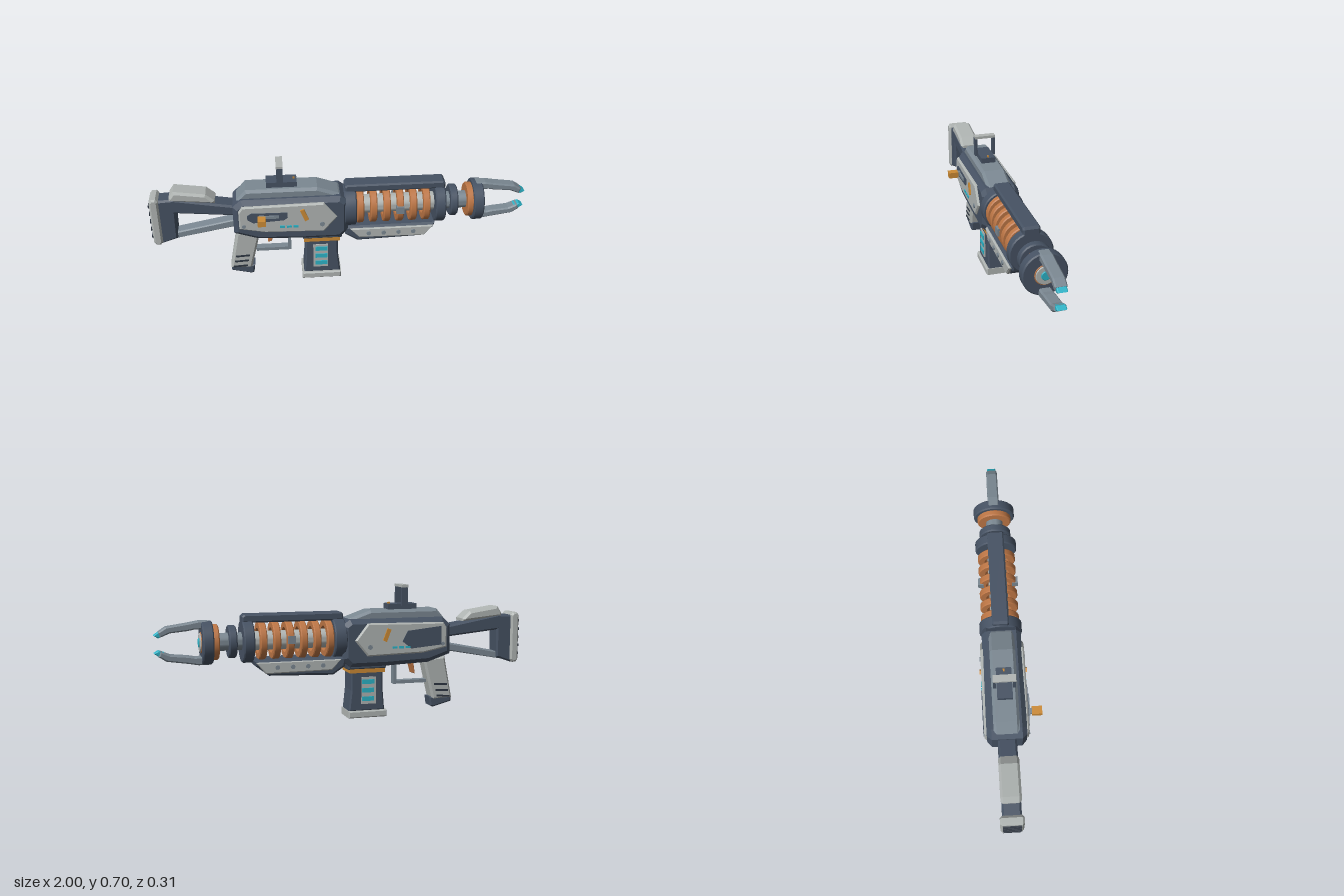
import * as THREE from 'three';
import { toCreasedNormals } from 'three/addons/utils/BufferGeometryUtils.js';

const mat = (name, color) => {
  const m = new THREE.MeshStandardMaterial({ color });
  m.name = name;
  return m;
};
const AXIS = 0.428; // height of the barrel axis

export function createModel() {
  const dark = mat('dark slate', 0x465263);
  const black = mat('near black', 0x2d3541);
  const mid = mat('mid grey', 0x7b8892);
  const light = mat('light grey', 0xb0b5b3);
  const copper = mat('copper', 0xbd7645);
  const orange = mat('orange', 0xcc8b35);
  const cyan = mat('cyan', 0x2cb3c7);

  const model = new THREE.Group();
  model.name = 'rifle';
  const body = new THREE.Group();
  body.name = 'body';
  body.position.z = -0.031;
  model.add(body);

  const add = (name, geo, material, x = 0, y = 0, z = 0) => {
    const m = new THREE.Mesh(geo, material);
    m.name = name;
    m.position.set(x, y, z);
    body.add(m);
    return m;
  };
  const box = (name, material, w, h, d, x, y, z = 0) =>
    add(name, new THREE.BoxGeometry(w, h, d), material, x, y, z);

  // Side profile extruded from z0 to z1, with chamfered edges inside the outline
  const slab = (name, material, pts, z0, z1, bevel = 0) => {
    const shape = new THREE.Shape(pts.map(p => new THREE.Vector2(p[0], p[1])));
    const geo = new THREE.ExtrudeGeometry(shape, {
      depth: z1 - z0 - 2 * bevel, bevelEnabled: bevel > 0, bevelThickness: bevel,
      bevelSize: bevel, bevelOffset: -bevel, bevelSegments: 1,
    });
    geo.translate(0, 0, z0 + bevel);
    return add(name, geo, material);
  };
  const block = (name, material, pts, half, bevel) => slab(name, material, pts, -half, half, bevel);

  // Ring or disc turned around the barrel axis, with a small chamfer
  const ring = (name, material, x0, x1, r, inner = 0, c = 0.006) => {
    const p = [[inner, x0], [r - c, x0], [r, x0 + c], [r, x1 - c], [r - c, x1], [inner, x1]];
    if (inner > 0) p.push([inner, x0]);
    const geo = new THREE.LatheGeometry(p.map(q => new THREE.Vector2(q[0], q[1])), 32);
    geo.rotateZ(-Math.PI / 2);
    return add(name, toCreasedNormals(geo, 0.5), material, 0, AXIS, 0);
  };
  const bolt = (name, material, r, x, y, z) => {
    const geo = new THREE.CylinderGeometry(r, r, 0.012, 8);
    geo.rotateX(Math.PI / 2);
    return add(name, geo, material, x, y, z);
  };

  // Receiver
  block('receiver', dark, [[-0.565, 0.33], [-0.44, 0.288], [-0.2, 0.278], [0, 0.278], [0.04, 0.32],
    [0.04, 0.5], [0, 0.53], [-0.52, 0.53], [-0.565, 0.49]], 0.102, 0.024);
  block('topCover', mid, [[-0.545, 0.515], [0.02, 0.515], [-0.01, 0.535], [-0.12, 0.574],
    [-0.495, 0.574]], 0.066, 0.014);

  for (const s of [1, -1]) {
    const side = (name, material, pts, a, b, bevel) =>
      slab(name, material, pts, s > 0 ? a : -b, s > 0 ? b : -a, bevel);
    // Side plate and its markings
    side('sidePlate', light, [[-0.535, 0.37], [-0.4, 0.343], [-0.09, 0.335], [-0.02, 0.42], [-0.09, 0.51],
      [-0.515, 0.505], [-0.535, 0.475]], 0.085, 0.114, 0.008);
    if (s > 0) {
      side('sideSlot', dark, [[-0.49, 0.43], [-0.46, 0.41], [-0.3, 0.42], [-0.28, 0.435], [-0.28, 0.465],
        [-0.47, 0.468], [-0.49, 0.455]], 0.113, 0.118);
    } else {
      side('rearPanel', dark, [[-0.5, 0.385], [-0.33, 0.37], [-0.28, 0.41], [-0.31, 0.465], [-0.5, 0.485]],
        0.113, 0.118);
    }
    side('slashMark', orange, [[-0.19, 0.41], [-0.17, 0.42], [-0.195, 0.483], [-0.215, 0.475]], 0.113, 0.122);
    for (let i = 0; i < 3; i++) box('statusLight', cyan, 0.026, 0.012, 0.008, -0.31 + i * 0.036, 0.379, s * 0.115);
    bolt('plateBolt', mid, 0.013, -0.1, 0.385, s * 0.114);
    bolt('plateBolt', mid, 0.01, -0.51, 0.39, s * 0.114);

    // Handguard side plate with bolts
    side('handguardPlate', light, [[0.1, 0.27], [0.45, 0.265], [0.5, 0.325], [0.05, 0.325]], 0.07, 0.094, 0.006);
    for (let i = 0; i < 4; i++) bolt('handguardBolt', mid, 0.012, 0.15 + i * 0.08, 0.298, s * 0.094);

    // Magazine window and light bars
    box('magazinePanel', light, 0.08, 0.145, 0.02, -0.108, 0.147, s * 0.059);
    for (let i = 0; i < 3; i++) box('magazineLight', cyan, 0.066, 0.024, 0.016, -0.104, 0.103 + i * 0.046, s * 0.066);

    // Grip grooves
    for (let i = 0; i < 3; i++) {
      const groove = box('gripGroove', black, 0.075, 0.01, 0.008, -0.53 - i * 0.008, 0.155 - i * 0.033, s * 0.045);
      groove.rotation.z = 0.06;
    }
    // Coil clamp and sight post
    box('coilClamp', mid, 0.04, 0.04, 0.03, 0.315, AXIS + 0.01, s * 0.092);
    box('sightPost', dark, 0.034, 0.1, 0.014, -0.313, 0.643, s * 0.05);
  }

  // Charging handle on the front side
  box('handleTrack', mid, 0.11, 0.016, 0.014, -0.38, 0.445, 0.118);
  box('handleStem', mid, 0.026, 0.024, 0.04, -0.415, 0.445, 0.128);
  box('chargingHandle', orange, 0.042, 0.032, 0.052, -0.415, 0.445, 0.16);

  // Top sight
  box('sightBase', dark, 0.16, 0.032, 0.078, -0.305, 0.587);
  box('sightBar', light, 0.036, 0.014, 0.114, -0.313, 0.698);
  box('sightBead', orange, 0.012, 0.014, 0.008, -0.24, 0.604);

  // Barrel shroud and coil
  ring('rearCollar', dark, 0.02, 0.085, 0.112);
  ring('frontCollar', dark, 0.505, 0.56, 0.112);
  ring('barrelCore', light, 0.07, 0.52, 0.05);
  for (let i = 0; i < 6; i++) ring('coilRing', copper, 0.088 + i * 0.0705, 0.124 + i * 0.0705, 0.101, 0.066, 0.005);
  block('topRail', dark, [[0.025, 0.525], [0.56, 0.525], [0.56, 0.556], [0.548, 0.568], [0.037, 0.568],
    [0.025, 0.556]], 0.044, 0.008);
  block('handguard', dark, [[0.02, 0.335], [0.025, 0.285], [0.09, 0.242], [0.43, 0.253], [0.5, 0.305],
    [0.51, 0.335]], 0.083, 0.012);

  // Muzzle
  ring('barrelNeck', mid, 0.55, 0.7, 0.046);
  ring('neckDisc', dark, 0.59, 0.63, 0.085);
  ring('copperDisc', copper, 0.68, 0.715, 0.092);
  ring('muzzleRing', dark, 0.71, 0.765, 0.112);
  ring('copperSeat', copper, 0.76, 0.768, 0.054, 0, 0.002);
  ring('lensRim', light, 0.762, 0.774, 0.049, 0, 0.003);
  ring('lens', cyan, 0.768, 0.779, 0.024, 0, 0.003);

  // Emitter prongs, mirrored above and below the axis
  for (const s of [1, -1]) {
    const pts = list => {
      const p = list.map(q => [q[0], AXIS + s * q[1]]);
      return s > 0 ? p : p.reverse();
    };
    block('prong', mid, pts([[0.73, 0.07], [0.8, 0.07], [0.83, 0.064], [0.92, 0.055], [0.968, 0.035],
      [0.978, 0.062], [0.94, 0.087], [0.83, 0.103], [0.78, 0.112], [0.73, 0.112]]), 0.03, 0.007);
    block('prongTip', cyan, pts([[0.95, 0.042], [0.978, 0.032], [1.0, 0.045], [0.965, 0.07]]), 0.024, 0.004);
  }

  // Magazine
  block('magazineWell', dark, [[-0.2, 0.262], [0.005, 0.262], [0.015, 0.3], [-0.215, 0.3]], 0.075, 0.008);
  box('magazineCollar', orange, 0.195, 0.024, 0.14, -0.1, 0.255);
  block('magazine', dark, [[-0.2, 0.035], [0, 0.035], [-0.012, 0.15], [-0.012, 0.25], [-0.19, 0.25],
    [-0.19, 0.15]], 0.063, 0.008);
  block('magazineBase', light, [[-0.21, 0], [0.004, 0], [0.004, 0.038], [-0.21, 0.038]], 0.074, 0.006);

  // Grip
  block('grip', light, [[-0.6, 0.075], [-0.485, 0.068], [-0.43, 0.3], [-0.555, 0.31]], 0.046, 0.012);
  block('gripFoot', dark, [[-0.597, 0.055], [-0.49, 0.028], [-0.475, 0.035], [-0.468, 0.085],
    [-0.598, 0.085]], 0.04, 0.008);

  // Trigger and guard
  box('guardBar', mid, 0.19, 0.018, 0.04, -0.36, 0.174);
  box('guardFront', mid, 0.018, 0.12, 0.04, -0.274, 0.235);
  block('trigger', copper, [[-0.392, 0.215], [-0.37, 0.222], [-0.35, 0.295], [-0.38, 0.295]], 0.014, 0.003);

  // Stock
  block('stockFrame', dark, [[-0.955, 0.26], [-0.865, 0.29], [-0.862, 0.445], [-0.555, 0.415], [-0.555, 0.475],
    [-0.87, 0.53], [-0.955, 0.525]], 0.048, 0.01);
  block('stockStrut', mid, [[-0.92, 0.275], [-0.55, 0.342], [-0.55, 0.385], [-0.87, 0.322]], 0.034, 0.006);
  block('cheekRest', light, [[-0.89, 0.52], [-0.655, 0.498], [-0.655, 0.513], [-0.7, 0.552],
    [-0.865, 0.576], [-0.89, 0.54]], 0.052, 0.012);
  block('buttPad', light, [[-0.993, 0.275], [-0.98, 0.26], [-0.958, 0.26], [-0.945, 0.275], [-0.945, 0.525],
    [-0.958, 0.54], [-0.98, 0.54], [-0.993, 0.525]], 0.06, 0.01);
  for (let i = 0; i < 5; i++) box('buttRidge', black, 0.012, 0.014, 0.092, -0.994, 0.308 + i * 0.046);

  return model;
}
